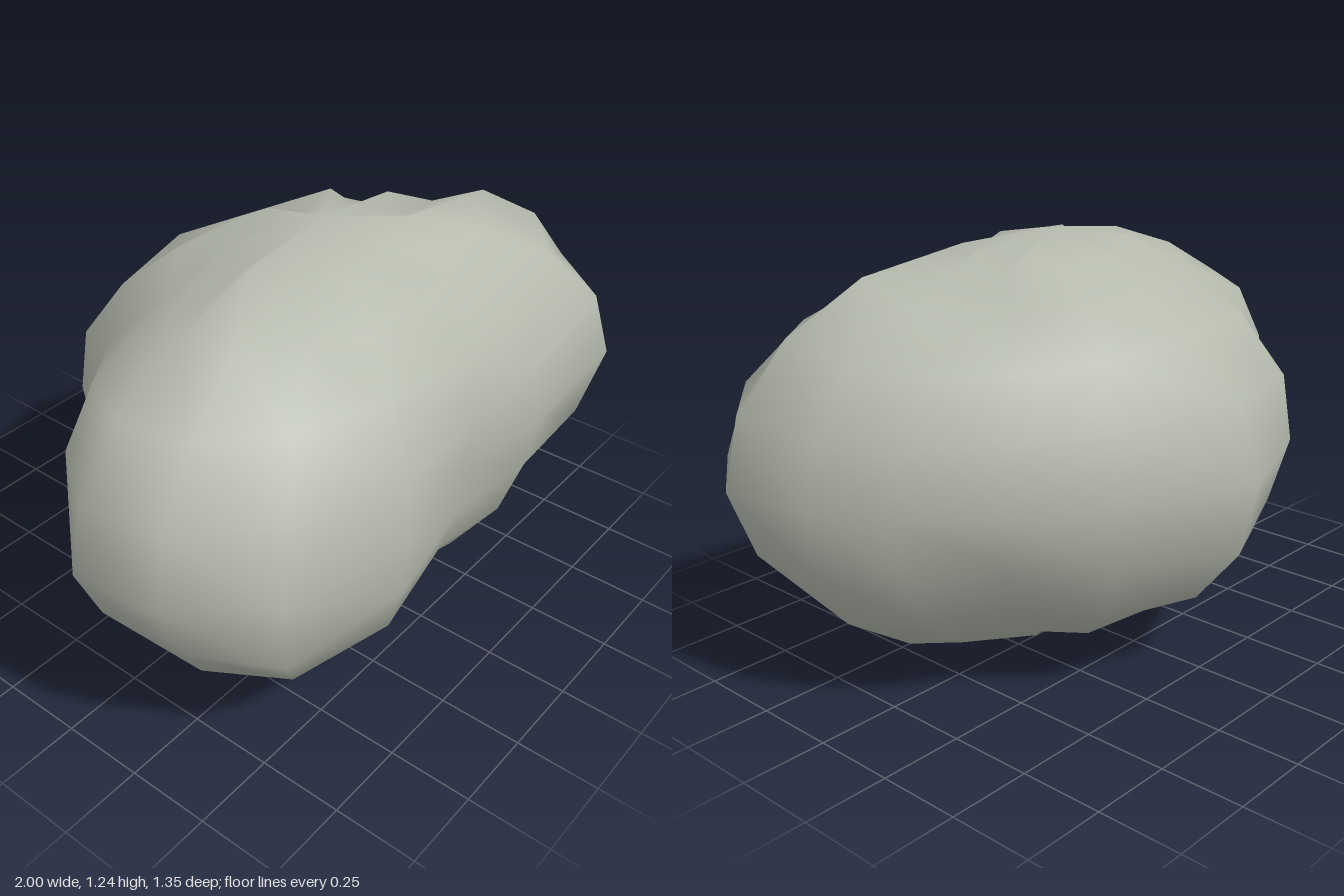
import * as THREE from 'three';
import { mergeVertices } from 'three/addons/utils/BufferGeometryUtils.js';

const SEGMENTS = 16, RINGS = 10;

// Cross-sections from upper to lower: radius factors of the 16 meridians,
// starting at +x and turning towards +z
const SECTIONS = [
  [0.93, 1.07, 1.00, 0.88, 0.96, 0.96, 0.94, 0.99, 0.99, 0.91, 0.90, 0.99, 0.97, 0.95, 0.93, 0.87],
  [0.96, 1.08, 1.06, 0.87, 0.93, 0.98, 0.98, 1.03, 1.02, 0.96, 0.90, 1.01, 1.06, 0.98, 0.95, 0.93],
  [0.93, 1.08, 1.12, 0.91, 0.86, 1.00, 1.06, 1.05, 1.01, 0.92, 0.86, 1.04, 1.14, 1.00, 0.91, 0.905],
  [0.94, 1.075, 1.145, 0.92, 0.785, 0.97, 1.09, 1.05, 1.005, 0.87, 0.80, 1.03, 1.185, 1.00, 0.92, 0.905],
  [0.97, 1.05, 1.10, 0.92, 0.82, 0.99, 1.12, 1.03, 0.97, 0.87, 0.82, 1.00, 1.16, 1.02, 0.88, 0.92],
  [1.01, 1.00, 0.98, 0.97, 0.87, 1.03, 1.10, 1.04, 0.95, 0.92, 0.88, 0.95, 1.09, 1.03, 0.90, 0.95],
  [1.02, 0.98, 0.94, 1.01, 0.91, 0.95, 1.05, 1.00, 0.94, 0.94, 0.93, 0.90, 1.00, 1.00, 0.93, 0.97],
];

function radiusFactor(ring, k) {
  if (ring === 0 || ring === RINGS) return 1;                     // poles
  if (ring === 1 || ring === RINGS - 1) return k % 2 ? 0.9 : 0.99; // puckers
  return SECTIONS[ring - 2][k];
}

function boulderGeometry() {
  const geo = new THREE.SphereGeometry(1, SEGMENTS, RINGS);
  const pos = geo.attributes.position;
  for (let i = 0; i < pos.count; i++) {
    const ring = Math.floor(i / (SEGMENTS + 1));
    const k = (24 - i % (SEGMENTS + 1)) % SEGMENTS;
    const f = radiusFactor(ring, k);
    pos.setXYZ(i, pos.getX(i) * f, pos.getY(i) * f * 0.62, pos.getZ(i) * f * 0.65);
  }
  // Weld the seam and poles so the surface shades smoothly
  geo.deleteAttribute('uv');
  geo.deleteAttribute('normal');
  const welded = mergeVertices(geo, 1e-4);
  welded.computeVertexNormals();
  return welded;
}

export function createModel() {
  const group = new THREE.Group();
  group.name = 'rock';
  const boulder = new THREE.Mesh(
    boulderGeometry(),
    new THREE.MeshStandardMaterial({ color: 0xb5baad })
  );
  boulder.name = 'boulder';
  boulder.position.set(0.005, 0.62, 0.09);
  group.add(boulder);
  return group;
}
